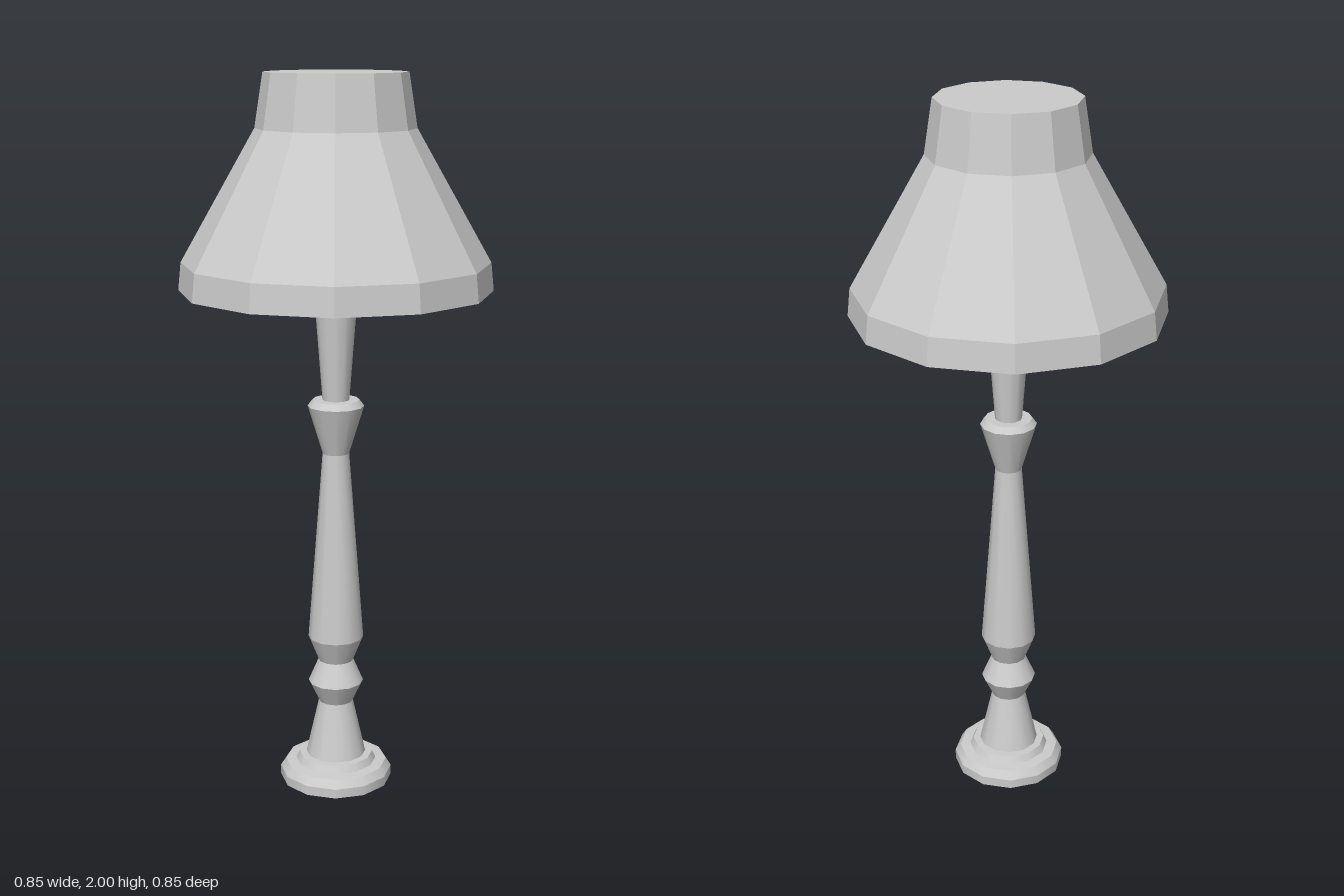
import * as THREE from 'three';
import { mergeGeometries } from 'three/addons/utils/BufferGeometryUtils.js';

const SIDES = 12;

// Turned solid from [radius, height] pairs, listed bottom to top.
// Each band is its own lathe, so the rings between bands stay sharp.
function turned(name, profile, flatShading) {
  const points = profile.map(([r, y]) => new THREE.Vector2(r, y));
  const bands = [];
  for (let i = 0; i < points.length - 1; i++) {
    bands.push(new THREE.LatheGeometry([points[i], points[i + 1]], SIDES));
  }
  const material = new THREE.MeshStandardMaterial({ color: 0xcccccc, flatShading });
  const mesh = new THREE.Mesh(mergeGeometries(bands), material);
  mesh.name = name;
  return mesh;
}

export function createModel() {
  const lamp = new THREE.Group();
  lamp.name = 'tableLamp';

  // Stepped round foot
  lamp.add(turned('base', [
    [0, 0], [0.16, 0], [0.16, 0.027], [0.145, 0.05], [0.115, 0.053], [0.105, 0.073], [0, 0.075],
  ], false));

  // Turned column with a bead near the foot and a flared collar
  lamp.add(turned('column', [
    [0.085, 0.074], [0.049, 0.235], [0.078, 0.295], [0.05, 0.36], [0.078, 0.43],
    [0.037, 0.97], [0.078, 1.105], [0.065, 1.122], [0, 1.122],
  ], false));

  // Neck widening up to the shade
  lamp.add(turned('neck', [[0.037, 1.12], [0.06, 1.425]], false));

  // Faceted shade, closed at both ends
  lamp.add(turned('shade', [
    [0, 1.424], [0.426, 1.424], [0.418, 1.5], [0.215, 1.855], [0.192, 2], [0, 2],
  ], true));

  return lamp;
}
